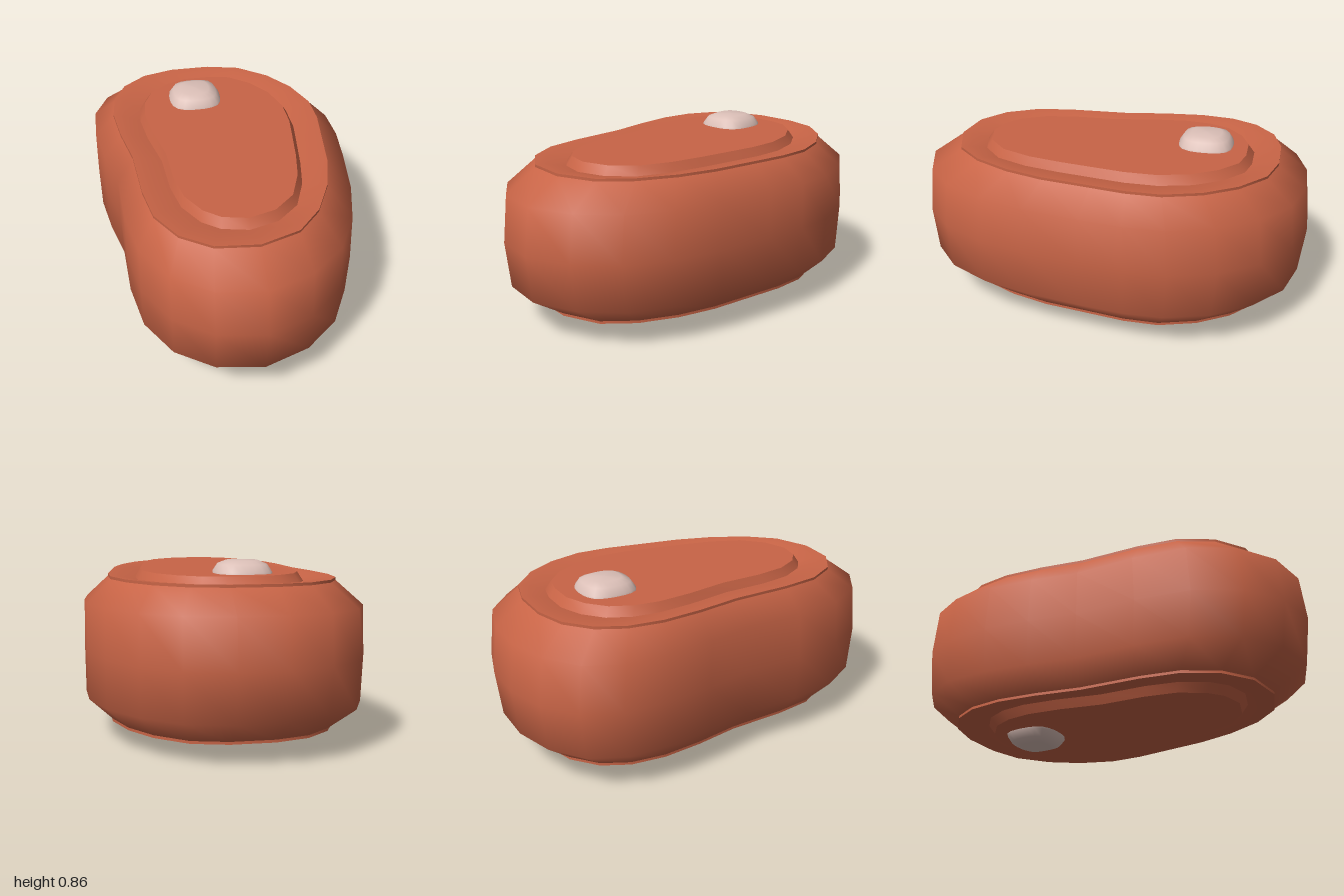
import * as THREE from 'three';

const MID = 0.43; // height of the mirror plane between top and bottom

// Matching outlines as [x, z], running from the front (+z) round by +x
const OUTER = [
  [0, 1], [0.22, 0.92], [0.39, 0.77], [0.5, 0.56], [0.565, 0.32], [0.61, 0.03], [0.635, -0.19], [0.63, -0.39],
  [0.56, -0.61], [0.43, -0.8], [0.26, -0.94], [0.04, -1], [-0.19, -1], [-0.39, -0.94], [-0.55, -0.82], [-0.63, -0.645],
  [-0.64, -0.42], [-0.61, -0.19], [-0.56, 0.05], [-0.555, 0.355], [-0.515, 0.62], [-0.4, 0.83], [-0.225, 0.96],
];
const RIM = [
  [0, 0.805], [0.19, 0.74], [0.31, 0.61], [0.4, 0.43], [0.455, 0.24], [0.49, 0], [0.515, -0.17], [0.515, -0.34],
  [0.455, -0.52], [0.355, -0.67], [0.21, -0.79], [0.04, -0.835], [-0.17, -0.835], [-0.33, -0.79], [-0.45, -0.69], [-0.515, -0.56],
  [-0.535, -0.39], [-0.515, -0.19], [-0.475, 0.03], [-0.46, 0.33], [-0.43, 0.52], [-0.34, 0.68], [-0.2, 0.78],
];
const FACE = [
  [-0.02, 0.67], [0.12, 0.63], [0.23, 0.53], [0.295, 0.37], [0.33, 0.2], [0.36, 0], [0.38, -0.14], [0.38, -0.3],
  [0.335, -0.46], [0.25, -0.59], [0.14, -0.68], [0.03, -0.705], [-0.12, -0.705], [-0.24, -0.66], [-0.335, -0.58], [-0.385, -0.47],
  [-0.4, -0.34], [-0.38, -0.16], [-0.335, 0.06], [-0.325, 0.29], [-0.295, 0.45], [-0.225, 0.575], [-0.145, 0.64],
];

const ring = (outline, y) => outline.map(([x, z]) => [x, y, z]);
const scaled = (outline, sx, sz, cx = 0, cz = 0) =>
  outline.map(([x, z]) => [cx + (x - cx) * sx, cz + (z - cz) * sz]);
const blend = (a, b, t) => a.map(([x, z], i) => [x + (b[i][0] - x) * t, z + (b[i][1] - z) * t]);
const flip = (rings) => rings.map((r) => r.map(([x, y, z]) => [x, 2 * MID - y, z])).reverse();

// Smooth skin over a stack of closed rings
function loft(rings) {
  const n = rings[0].length;
  const index = [];
  for (let k = 0; k < rings.length - 1; k++) {
    for (let i = 0; i < n; i++) {
      const j = (i + 1) % n;
      const a = k * n + i, b = k * n + j, c = a + n, d = b + n;
      index.push(a, b, c, b, d, c);
    }
  }
  const geo = new THREE.BufferGeometry();
  geo.setAttribute('position', new THREE.Float32BufferAttribute(rings.flat(2), 3));
  geo.setIndex(index);
  geo.computeVertexNormals();
  return geo;
}

export function createModel() {
  const meat = new THREE.MeshStandardMaterial({ color: 0xc86446 });
  meat.name = 'meat red';
  const bone = new THREE.MeshStandardMaterial({ color: 0xdcc0b8 });
  bone.name = 'bone pink';

  const group = new THREE.Group();
  group.name = 'steak';
  const add = (name, rings, material) => {
    const mesh = new THREE.Mesh(loft(rings), material);
    mesh.name = name;
    group.add(mesh);
  };

  // Rounded side wall
  const upper = [
    ring(scaled(OUTER, 0.995, 0.973), 0.658),
    ring(RIM, 0.767),
  ];
  add('sideWall', [...flip(upper), ring(OUTER, MID), ...upper], meat);

  // Rim, raised face and bone end, repeated on the underside
  const faceTop = scaled(FACE, 0.935, 0.955, -0.01, -0.02);
  const centre = FACE.map(() => [-0.02, -0.05]);

  // Rounded-square bone outline
  const knob = Array.from({ length: 24 }, (_, i) => {
    const a = (i / 24) * Math.PI * 2;
    const s = Math.sin(a), c = Math.cos(a);
    const r = Math.pow(s ** 4 + c ** 4, -0.16);
    return [s * r, c * r];
  });
  const knobRing = (r, y) => ring(knob.map(([x, z]) => [-0.09 + x * r, -0.465 + z * r]), y);

  const parts = {
    RimEdge: [[ring(RIM, 0.767), ring(RIM, 0.78)], meat],
    Rim: [[ring(RIM, 0.78), ring(blend(RIM, FACE, 0.4), 0.776), ring(FACE, 0.757)], meat],
    FaceBevel: [[ring(FACE, 0.757), ring(faceTop, 0.8)], meat],
    Face: [[ring(faceTop, 0.8), ring(centre, 0.8)], meat],
    Bone: [[knobRing(0.138, 0.79), knobRing(0.135, 0.808), knobRing(0.113, 0.842),
      knobRing(0.075, 0.858), knobRing(0, 0.86)], bone],
  };
  for (const [name, [rings, material]] of Object.entries(parts)) {
    add('top' + name, rings, material);
    add('bottom' + name, flip(rings), material);
  }
  return group;
}
